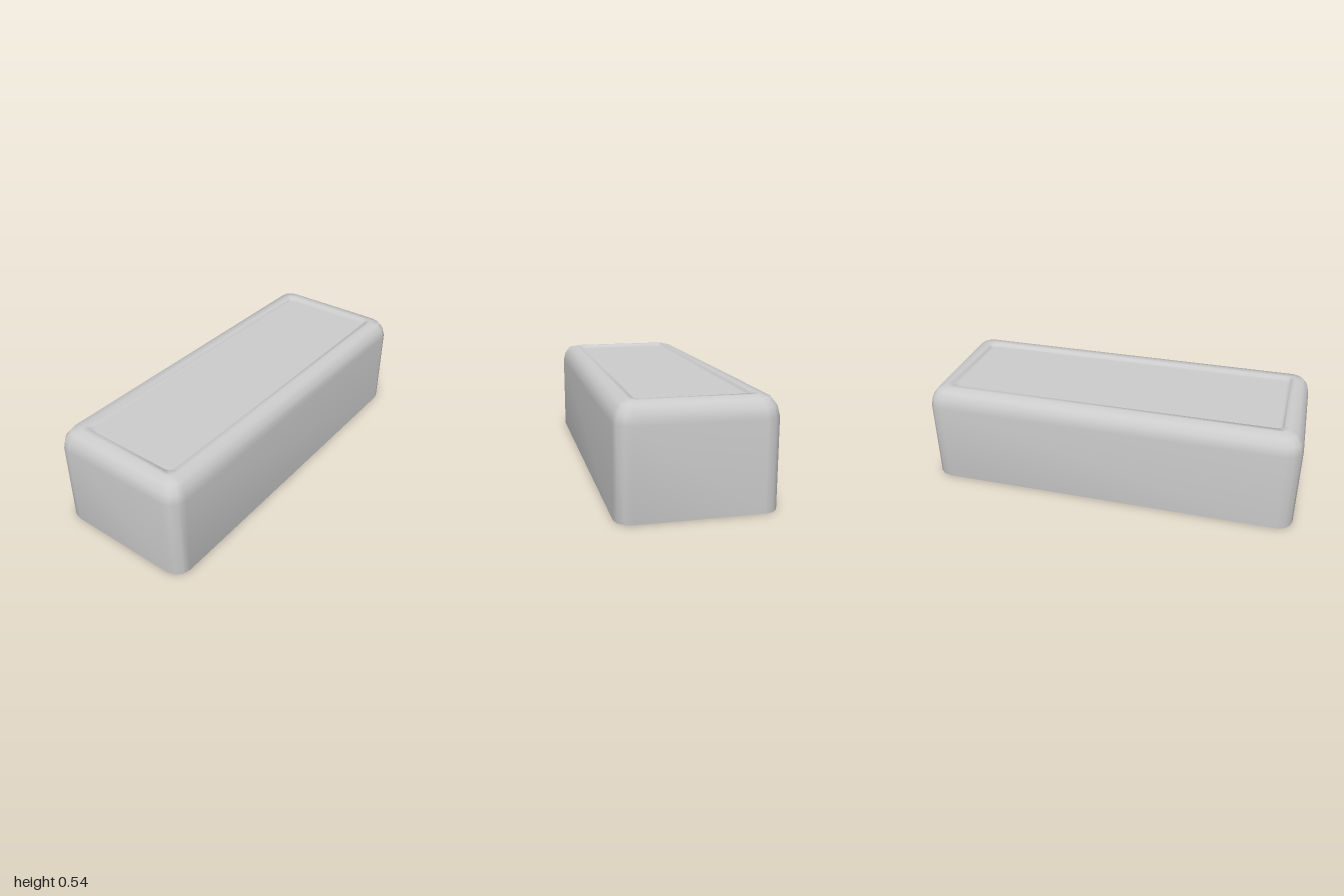
import * as THREE from 'three';

const HALF_X = 0.383, HALF_Z = 1, CORNER_STEPS = 3;

// Rounded-rectangle ring at height y, pulled in from the outer walls by inset
function ring([inset, y]) {
  const r = Math.max(0.035, 0.08 - inset * 0.5);
  const cx = HALF_X - inset - r, cz = HALF_Z - inset - r;
  const points = [];
  [[1, 1], [-1, 1], [-1, -1], [1, -1]].forEach(([sx, sz], corner) => {
    for (let i = 0; i <= CORNER_STEPS; i++) {
      const a = (corner + i / CORNER_STEPS) * Math.PI / 2;
      points.push([sx * cx + r * Math.cos(a), y, sz * cz + r * Math.sin(a)]);
    }
  });
  return points;
}

// Closed smooth skin through the rings, capped at both ends
function loft(profile) {
  const rings = profile.map(ring), n = rings[0].length;
  const positions = rings.flat(2), index = [];
  for (let k = 0; k < rings.length - 1; k++) {
    for (let i = 0; i < n; i++) {
      const a = k * n + i, b = k * n + (i + 1) % n;
      index.push(a, a + n, b + n, a, b + n, b);
    }
  }
  const bottom = positions.length / 3, top = bottom + 1, last = (rings.length - 1) * n;
  positions.push(0, profile[0][1], 0, 0, profile[profile.length - 1][1], 0);
  for (let i = 0; i < n; i++) {
    const j = (i + 1) % n;
    index.push(bottom, i, j, top, last + j, last + i);
  }
  const geometry = new THREE.BufferGeometry();
  geometry.setAttribute('position', new THREE.Float32BufferAttribute(positions, 3));
  geometry.setIndex(index);
  geometry.computeVertexNormals();
  return geometry;
}

export function createModel() {
  const group = new THREE.Group();
  group.name = 'block';
  const material = new THREE.MeshStandardMaterial({ color: 0xcccccc });

  // Inset and height, from the flat underside over the walls to the sunken top
  const body = new THREE.Mesh(loft([
    [0.04, 0], [0, 0],
    [0, 0.44], [0.011, 0.49], [0.038, 0.526], [0.08, 0.538],
    [0.105, 0.538], [0.109, 0.523], [0.125, 0.521],
  ]), material);
  body.name = 'roundedBody';
  group.add(body);
  return group;
}
